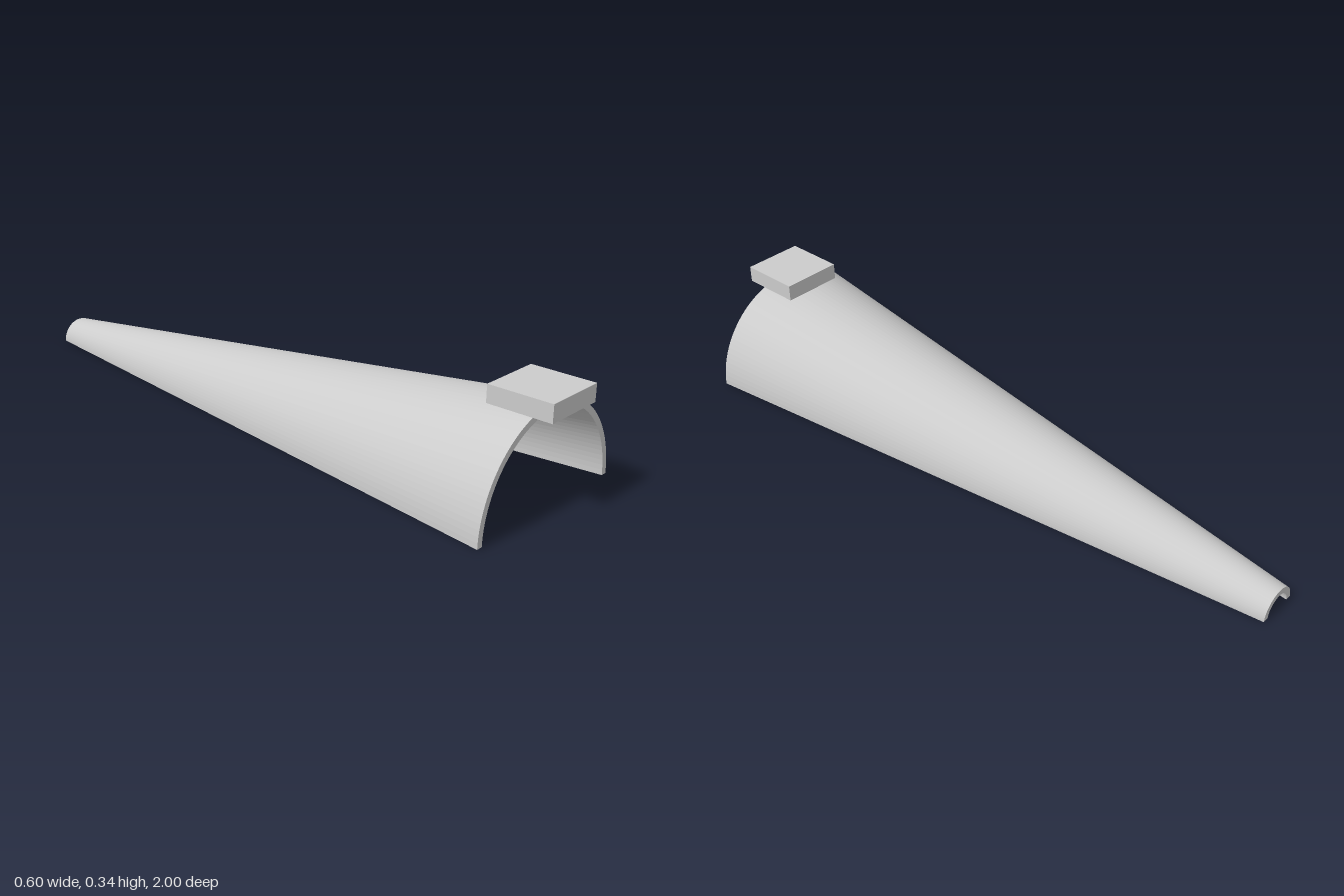
import * as THREE from 'three';

const FRONT_Z = 0.94, BACK_Z = -1;
const OUTER_R = 0.298, INNER_R = 0.279, TAPER = 0.232;

// Half-ring section extruded along z, then drawn in radially toward the back
function halfConeShell() {
  const section = new THREE.Shape();
  section.absarc(0, 0, OUTER_R, 0, Math.PI, false);
  section.absarc(0, 0, INNER_R, Math.PI, 0, true);
  section.closePath();
  const length = FRONT_Z - BACK_Z;
  const geometry = new THREE.ExtrudeGeometry(section, {
    depth: length, steps: 1, curveSegments: 28, bevelEnabled: false,
  });
  const p = geometry.attributes.position;
  for (let i = 0; i < p.count; i++) {
    const x = p.getX(i), y = p.getY(i), z = p.getZ(i);
    const r = Math.hypot(x, y);
    const scale = (r - TAPER * (1 - z / length)) / r;
    p.setXYZ(i, x * scale, y * scale, z + BACK_Z);
  }
  geometry.computeVertexNormals();
  return geometry;
}

export function createModel() {
  const model = new THREE.Group();
  const material = new THREE.MeshStandardMaterial({ color: 0xcccccc, flatShading: true });

  // Tapered, open-bottomed half cone
  const shell = new THREE.Mesh(halfConeShell(), material);
  shell.name = 'halfConeShell';
  model.add(shell);

  // Flat tab on the wide end, overhanging the front rim
  const tab = new THREE.Mesh(new THREE.BoxGeometry(0.196, 0.052, 0.195), material);
  tab.position.set(0, 0.312, 0.9025);
  tab.name = 'topTab';
  model.add(tab);

  return model;
}
